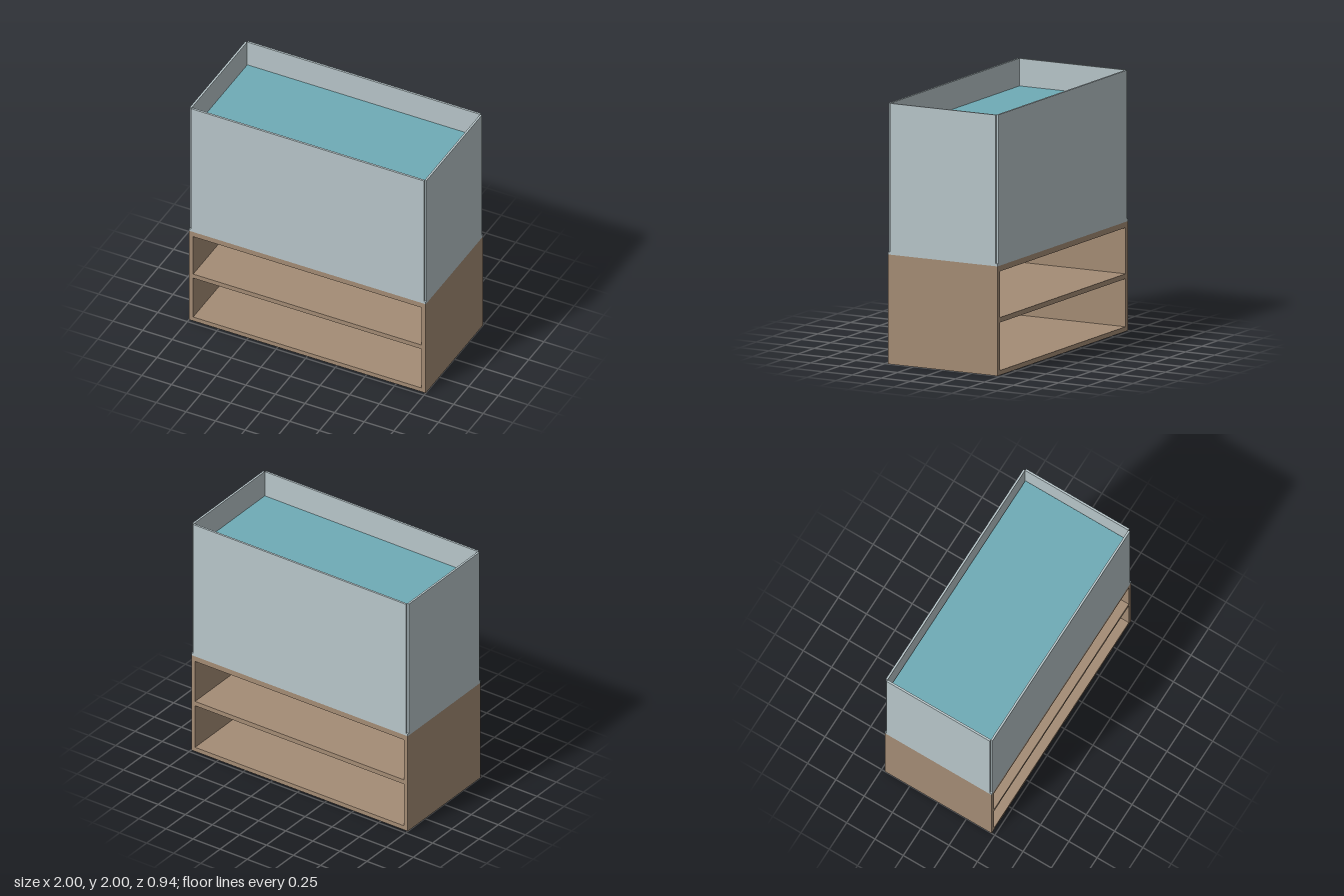
import * as THREE from 'three';

const WIDTH = 2, DEPTH = 0.944, STAND_H = 0.84, TOP = 2;
const GLASS = 0.016;

const mat = (name, color) => {
  const m = new THREE.MeshStandardMaterial({ color });
  m.name = name;
  return m;
};

function box(name, material, w, h, d, x, bottom, z) {
  const mesh = new THREE.Mesh(new THREE.BoxGeometry(w, h, d), material);
  mesh.name = name;
  mesh.position.set(x, bottom + h / 2, z);
  return mesh;
}

const rect = (T, x0, y0, x1, y1) => {
  const s = new T();
  s.moveTo(x0, y0);
  s.lineTo(x1, y0);
  s.lineTo(x1, y1);
  s.lineTo(x0, y1);
  s.closePath();
  return s;
};

export function createModel() {
  const wood = mat('wood', 0xa48c75);
  const glass = mat('glass', 0xb8c6ca);
  const water = mat('water', 0x6fabb6);
  const model = new THREE.Group();
  model.name = 'aquariumOnStand';

  // Stand: one frame with two compartments open front and back
  const frame = rect(THREE.Shape, -1, 0, 1, STAND_H);
  for (const [y0, y1] of [[0.036, 0.404], [0.442, 0.796]])
    frame.holes.push(rect(THREE.Path, -0.965, y0, 0.965, y1));
  const standGeo = new THREE.ExtrudeGeometry(frame, { depth: DEPTH, bevelEnabled: false });
  standGeo.translate(0, 0, -DEPTH / 2);
  const stand = new THREE.Mesh(standGeo, wood);
  stand.name = 'stand';
  model.add(stand);

  // Tank: base pane and four wall panes that leave a small notch at each corner
  const tank = new THREE.Group();
  tank.name = 'tank';
  tank.add(box('basePane', glass, WIDTH, GLASS + 0.004, DEPTH, 0, STAND_H, 0));
  const floor = STAND_H + GLASS + 0.004, wallH = TOP - floor;
  for (const s of [1, -1]) {
    tank.add(box(s > 0 ? 'frontPane' : 'backPane', glass,
      WIDTH - 2 * GLASS, wallH, GLASS, 0, floor, s * (DEPTH - GLASS) / 2));
    tank.add(box(s > 0 ? 'leftPane' : 'rightPane', glass,
      GLASS, wallH, DEPTH - 2 * GLASS, s * (WIDTH - GLASS) / 2, floor, 0));
  }
  model.add(tank);

  // Water fills the tank to below the rim
  model.add(box('water', water, 1.96, 1.79 - floor, 0.902, 0, floor, 0));
  return model;
}
